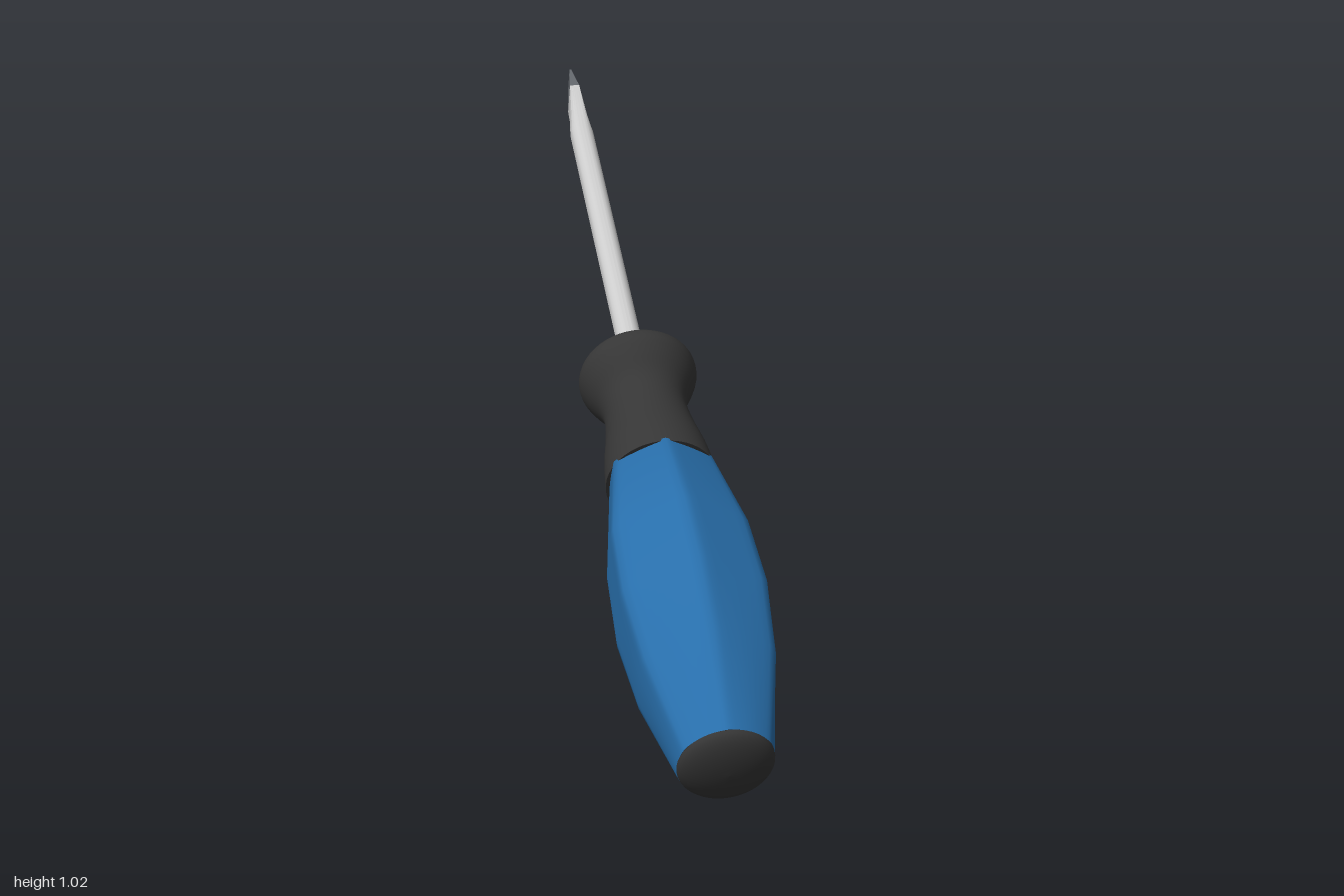
import * as THREE from 'three';
import { toCreasedNormals } from 'three/addons/utils/BufferGeometryUtils.js';

const blue = new THREE.MeshStandardMaterial({ color: 0x286eaa });
const black = new THREE.MeshStandardMaterial({ color: 0x363636 });
const steel = new THREE.MeshStandardMaterial({ color: 0xcccccc });
const darkSteel = new THREE.MeshStandardMaterial({ color: 0x63676c });

// Skin a list of closed cross-sections; each section is { y, at(angle) -> [x, z] }
function loft(sections, sides, start = 0) {
  const pos = [], index = [];
  for (const s of sections) {
    for (let j = 0; j < sides; j++) {
      const [x, z] = s.at(start + (j / sides) * Math.PI * 2);
      pos.push(x, s.y, z);
    }
  }
  for (let i = 0; i < sections.length - 1; i++) {
    for (let j = 0; j < sides; j++) {
      const k = (j + 1) % sides;
      const a = i * sides + j, b = i * sides + k;
      index.push(a, a + sides, b, b, a + sides, b + sides);
    }
  }
  // end cap
  const last = (sections.length - 1) * sides;
  const centre = pos.length / 3;
  pos.push(0, sections[sections.length - 1].y, 0);
  for (let j = 0; j < sides; j++) index.push(centre, last + (j + 1) % sides, last + j);
  const g = new THREE.BufferGeometry();
  g.setAttribute('position', new THREE.Float32BufferAttribute(pos, 3));
  g.setIndex(index);
  g.computeVertexNormals();
  return g;
}

// Unit hexagon with softened corners, one corner pointing along z
function hexRadius(a) {
  const p = 32;
  let sum = 0;
  for (let k = 0; k < 6; k++) {
    sum += Math.pow(Math.max(0, Math.cos(a - (k * Math.PI) / 3)), p);
  }
  return Math.pow(sum, -1 / p) * Math.cos(Math.PI / 6) * Math.pow(2, 1 / p);
}

const circle = (y, r) => ({ y, at: a => [r * Math.cos(a), r * Math.sin(a)] });
const rect = (y, hx, hz) => ({
  y,
  at: a => {
    const c = Math.cos(a), s = Math.sin(a), m = Math.max(Math.abs(c), Math.abs(s));
    return [(hx * c) / m, (hz * s) / m];
  },
});
const grip = (y, r, hex) => ({
  y,
  at: a => {
    const q = r * (1 - hex + hex * hexRadius(a));
    return [q * Math.cos(a), q * Math.sin(a)];
  },
});

export function createModel() {
  const model = new THREE.Group();
  model.name = 'screwdriver';
  const tool = new THREE.Group();
  tool.name = 'tool';
  model.add(tool);
  const add = (name, geometry, material) => {
    const mesh = new THREE.Mesh(geometry, material);
    mesh.name = name;
    tool.add(mesh);
  };

  // Hexagonal grip, rounder towards the butt
  add('grip', loft([
    grip(0, 0.094, 0.15),
    grip(0.21, 0.145, 0.85),
    grip(0.38, 0.163, 1),
    grip(0.55, 0.156, 1),
    grip(0.76, 0.116, 0.8),
  ], 60), blue);

  // Domed butt cap
  const dome = [];
  for (let i = 0; i <= 8; i++) {
    const a = (i / 8) * Math.PI / 2;
    dome.push(new THREE.Vector2(0.093 * Math.sin(a), -0.032 * Math.cos(a)));
  }
  add('buttCap', new THREE.LatheGeometry(dome, 40), black);

  // Collar: waisted neck swelling into a rounded flange
  const neck = new THREE.SplineCurve([
    [0.752, 0.115], [0.82, 0.108], [0.89, 0.095], [0.95, 0.088], [0.99, 0.094],
    [1.03, 0.114], [1.06, 0.125], [1.085, 0.122], [1.102, 0.105], [1.106, 0.083],
  ].map(([y, r]) => new THREE.Vector2(r, y))).getPoints(40);
  const collar = [
    new THREE.Vector2(0.09, 0.752), ...neck,
    new THREE.Vector2(0.074, 1.107), new THREE.Vector2(0.068, 1.118),
    new THREE.Vector2(0.055, 1.121), new THREE.Vector2(0, 1.121),
  ];
  add('collar', toCreasedNormals(new THREE.LatheGeometry(collar, 48), 0.7), black);

  // Round shaft flattening into the blade
  add('shaft', toCreasedNormals(loft([
    circle(1.1, 0.027), circle(1.93, 0.027), rect(2.07, 0.011, 0.039),
  ], 24), 0.5), steel);

  // Tapered blade tip
  add('bladeTip', toCreasedNormals(loft([
    rect(2.07, 0.011, 0.039), rect(2.142, 0.002, 0.033),
  ], 4, Math.PI / 4), 0.3), darkSteel);

  // Tilt the tool so the blade points up and back
  const along = new THREE.Vector3(0.139, 0.424, -0.895).normalize();
  const side = new THREE.Vector3().crossVectors(along, new THREE.Vector3(0, 1, 0)).normalize();
  const up = new THREE.Vector3().crossVectors(side, along);
  tool.quaternion.setFromRotationMatrix(new THREE.Matrix4().makeBasis(side, along, up));
  tool.position.set(-0.1, 0.088, 0.956);
  return model;
}
